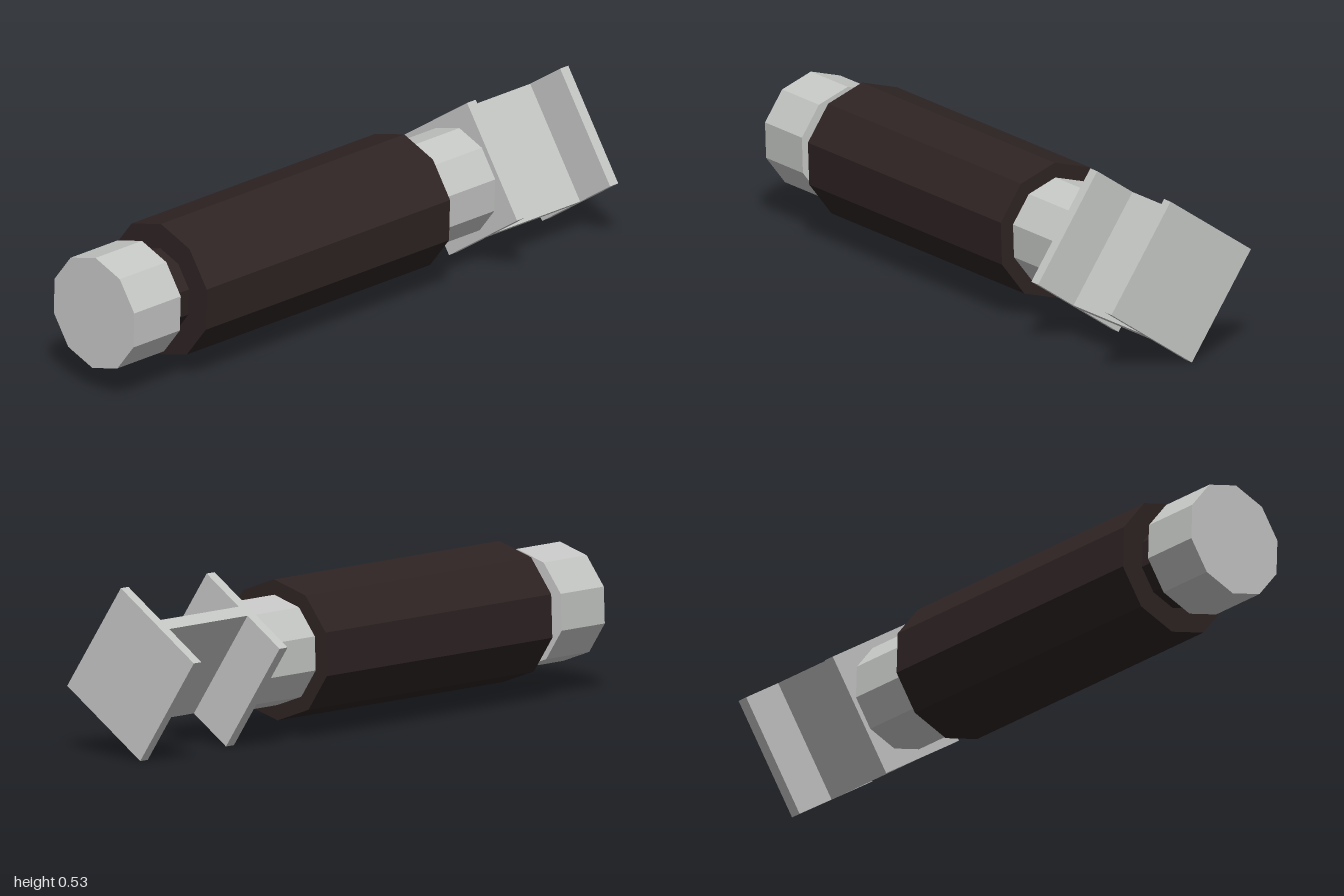
import * as THREE from 'three';

const AXIS_Y = 0.267;
const DEG = Math.PI / 180;

export function createModel() {
  const model = new THREE.Group();
  model.name = 'pistonHandle';

  const metal = new THREE.MeshStandardMaterial({ color: 0xc6c8c6, flatShading: true });
  metal.name = 'lightGrey';
  const grip = new THREE.MeshStandardMaterial({ color: 0x2e2323, flatShading: true });
  grip.name = 'darkBrown';

  // Everything is built about the long axis, which runs along z
  const axis = new THREE.Group();
  axis.name = 'axis';
  axis.position.y = AXIS_Y;
  model.add(axis);

  function add(name, geometry, material, z0, z1, parent) {
    const mesh = new THREE.Mesh(geometry, material);
    mesh.name = name;
    mesh.position.z = (z0 + z1) / 2;
    parent.add(mesh);
  }

  // Ten-sided cylinders, all turned to the same angle
  function barrel(name, radius, z0, z1, material) {
    const geometry = new THREE.CylinderGeometry(radius, radius, z1 - z0, 10, 1, false, 34 * DEG);
    geometry.rotateX(Math.PI / 2);
    add(name, geometry, material, z0, z1, axis);
  }
  barrel('frontCap', 0.186, 0.8, 1, metal);
  barrel('neck', 0.138, 0.72, 0.8, grip);
  barrel('gripBody', 0.22, -0.326, 0.72, grip);
  barrel('rearRod', 0.172, -0.565, -0.326, metal);

  // Tilted I-shaped bracket at the back: two plates joined by a web
  const bracket = new THREE.Group();
  bracket.name = 'bracket';
  bracket.rotation.z = 34.1 * DEG;
  axis.add(bracket);
  function slab(name, width, z0, z1) {
    add(name, new THREE.BoxGeometry(width, 0.396, z1 - z0), metal, z0, z1, bracket);
  }
  slab('innerPlate', 0.365, -0.602, -0.565);
  slab('web', 0.044, -0.965, -0.602);
  slab('outerPlate', 0.365, -1, -0.965);

  return model;
}
